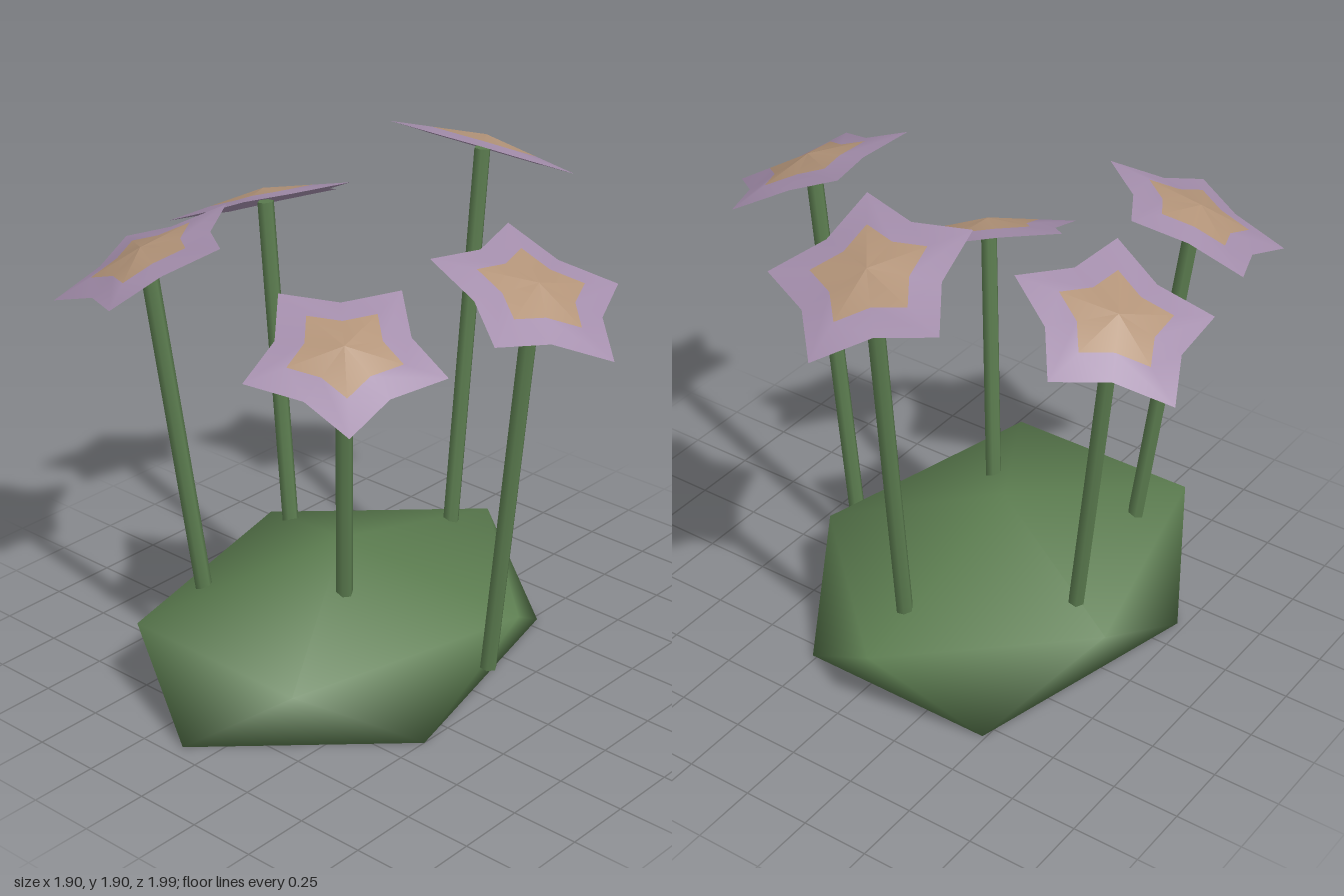
import * as THREE from 'three';

const green = new THREE.MeshStandardMaterial({ color: 0x5c7d50 });
green.name = 'leaf green';
const lilac = new THREE.MeshStandardMaterial({ color: 0xa48eac, side: THREE.DoubleSide });
lilac.name = 'petal lilac';
const tan = new THREE.MeshStandardMaterial({ color: 0xb39479, side: THREE.DoubleSide });
tan.name = 'centre tan';

function buildGeometry(positions, index) {
  const g = new THREE.BufferGeometry();
  g.setAttribute('position', new THREE.Float32BufferAttribute(positions, 3));
  g.setIndex(index);
  g.computeVertexNormals();
  return g;
}

// Squashed twenty-sided mound with a flattened underside
function moundGeometry() {
  const p = [0, 0.49, 0];
  const index = [];
  for (const [offset, y] of [[0, 0.28], [0.5, 0]]) {
    for (let i = 0; i < 5; i++) {
      const a = (i + offset) * Math.PI * 0.4;
      p.push(0.83 * Math.cos(a), y, 0.642 * Math.sin(a));
    }
  }
  p.push(0, 0, 0);
  for (let i = 0; i < 5; i++) {
    const u = 1 + i, u2 = 1 + (i + 1) % 5, l = u + 5, l2 = u2 + 5;
    index.push(0, u2, u, u, u2, l, l, u2, l2, 11, l, l2);
  }
  return buildGeometry(p, index);
}

// Star-shaped band between two scales of a five-pointed star, rising to a low peak
function starBand(inner, outer) {
  const p = [];
  const index = [];
  for (const t of [inner, outer]) {
    for (let i = 0; i < 10; i++) {
      const a = i * Math.PI / 5;
      const r = (i % 2 ? 0.24 : 0.357) * t;
      p.push(r * Math.sin(a), 0.05 * (1 - t), r * Math.cos(a));
    }
  }
  for (let i = 0; i < 10; i++) {
    const j = (i + 1) % 10;
    index.push(i, i + 10, j + 10);
    if (inner > 0) index.push(i, j + 10, j);
  }
  return buildGeometry(p, index);
}

function addMesh(parent, name, geometry, material) {
  const mesh = new THREE.Mesh(geometry, material);
  mesh.name = name;
  parent.add(mesh);
  return mesh;
}

export function createModel() {
  const model = new THREE.Group();
  model.name = 'flowerMound';

  addMesh(model, 'mound', moundGeometry(), green).position.set(-0.12, 0, -0.11);

  // Stem foot, stem top and the compass angle each bloom leans towards
  const flowers = [
    { foot: [-0.495, 0.3, -0.445], top: [-0.59, 1.585, -0.57], lean: -138 },
    { foot: [-0.3, 0.4, 0.06], top: [-0.395, 1.375, 0.155], lean: -45 },
    { foot: [-0.055, 0.17, 0.52], top: [-0.048, 1.63, 0.67], lean: 2 },
    { foot: [0.075, 0.3, -0.555], top: [0.12, 1.565, -0.695], lean: 160 },
    { foot: [0.47, 0.33, -0.095], top: [0.625, 1.775, -0.098], lean: 90 },
  ];
  const centreGeometry = starBand(0, 0.57);
  const petalGeometry = starBand(0.57, 1);
  const up = new THREE.Vector3(0, 1, 0);

  for (const { foot, top, lean } of flowers) {
    const flower = new THREE.Group();
    flower.name = 'flower';
    model.add(flower);

    const a = new THREE.Vector3(...foot);
    const b = new THREE.Vector3(...top);
    const dir = b.clone().sub(a);
    const stem = addMesh(flower, 'stem', new THREE.CylinderGeometry(0.031, 0.031, dir.length(), 6), green);
    stem.position.copy(a).add(b).multiplyScalar(0.5);
    stem.quaternion.setFromUnitVectors(up, dir.normalize());

    // Bloom tilted outwards, one point along the lean
    const bloom = new THREE.Group();
    bloom.name = 'bloom';
    bloom.position.copy(b);
    bloom.rotation.set(0.43, THREE.MathUtils.degToRad(lean), 0, 'YXZ');
    addMesh(bloom, 'petals', petalGeometry, lilac);
    addMesh(bloom, 'bloomCentre', centreGeometry, tan);
    flower.add(bloom);
  }
  return model;
}
